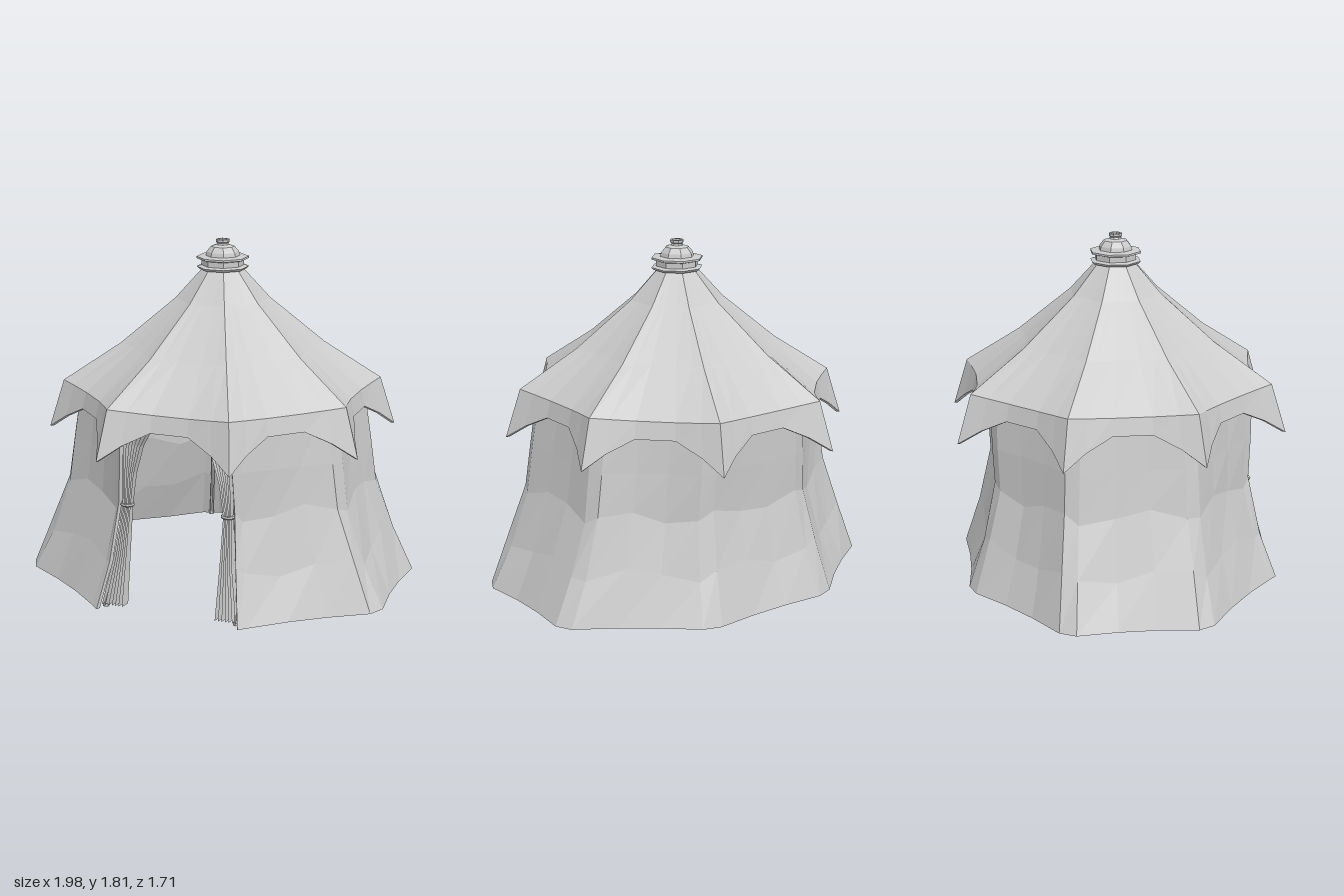
import * as THREE from 'three';

const canvas = new THREE.MeshStandardMaterial({ color: 0xcccccc, flatShading: true });
const cloth = new THREE.MeshStandardMaterial({ color: 0xcccccc, flatShading: true, side: THREE.DoubleSide });

// Thick sheet: outer(i, j) and inner(i, j) give points, i runs round the tent, j runs up
function shell(nu, nv, outer, inner) {
  const pos = [], idx = [], size = nu * nv;
  for (const f of [outer, inner])
    for (let j = 0; j < nv; j++) for (let i = 0; i < nu; i++) pos.push(...f(i, j).toArray());
  const quad = (a, b, c, d) => idx.push(a, b, c, a, c, d);
  const o = (i, j) => j * nu + i, n = (i, j) => size + o(i, j);
  for (let j = 0; j < nv - 1; j++) {
    for (let i = 0; i < nu - 1; i++) {
      quad(o(i, j), o(i + 1, j), o(i + 1, j + 1), o(i, j + 1));
      quad(n(i + 1, j), n(i, j), n(i, j + 1), n(i + 1, j + 1));
    }
    quad(n(0, j), o(0, j), o(0, j + 1), n(0, j + 1));
    quad(o(nu - 1, j), n(nu - 1, j), n(nu - 1, j + 1), o(nu - 1, j + 1));
  }
  for (let i = 0; i < nu - 1; i++) {
    quad(n(i, 0), n(i + 1, 0), o(i + 1, 0), o(i, 0));
    quad(o(i, nv - 1), o(i + 1, nv - 1), n(i + 1, nv - 1), n(i, nv - 1));
  }
  return geometry(pos, idx);
}

function geometry(pos, idx) {
  const g = new THREE.BufferGeometry();
  g.setAttribute('position', new THREE.Float32BufferAttribute(pos, 3));
  g.setIndex(idx);
  const flat = g.toNonIndexed();
  flat.computeVertexNormals();
  return flat;
}

function add(parent, name, geo, mat = canvas) {
  const m = new THREE.Mesh(geo, mat);
  m.name = name;
  parent.add(m);
  return m;
}

// Point moved towards the central axis by d
function inset(p, d, drop = 0) {
  const s = 1 - d / Math.hypot(p.x, p.z);
  return new THREE.Vector3(p.x * s, p.y - drop, p.z * s);
}

// Corner k of the octagon, counted from the front corner on +x, round by the back
const angle = k => Math.PI / 8 + k * Math.PI / 4;

// Wall rows: height, then x and z of a side corner and of a front or back corner
const wallRows = [
  [0, 1.0, 0.36, 0.385, 0.82],
  [0.25, 0.89, 0.34, 0.345, 0.735],
  [0.53, 0.79, 0.32, 0.315, 0.67],
  [0.76, 0.755, 0.31, 0.305, 0.68],
  [1.06, 0.71, 0.295, 0.29, 0.685],
];
function wallCorner(k, [y, sx, sz, fx, fz]) {
  const a = angle(k), side = Math.abs(Math.sin(a)) > 0.7;
  return new THREE.Vector3(Math.sign(Math.sin(a)) * (side ? sx : fx), y, Math.sign(Math.cos(a)) * (side ? sz : fz));
}

function wallGeometry() {
  const cols = [[0, 0]];
  for (let k = 0; k < 7; k++) for (const t of [0.07, 0.36, 0.64, 0.93]) cols.push([k, t]);
  cols.push([6, 1]);
  const outer = (i, j) => {
    const [k, t] = cols[i];
    const p = wallCorner(k, wallRows[j]).lerp(wallCorner(k + 1, wallRows[j]), t);
    const sag = 0.03 * (4 * t * (1 - t));
    p.x *= 1 - sag; p.z *= 1 - sag;
    // uneven creases in the hanging cloth
    if (j === 1 || j === 2) p.y += 0.035 * Math.sin(i * 1.9 + j);
    return p;
  };
  return shell(cols.length, wallRows.length, outer, (i, j) => inset(outer(i, j), 0.022));
}

// Roof rows from the valance hem to the peak: corner radius, corner height, sag inwards, rise at mid-side
const roofRows = [
  [0.925, 0.805, 0.125, 0.165],
  [0.845, 1.06, 0.06, -0.02],
  [0.54, 1.26, 0.045, 0],
  [0.25, 1.5, 0.02, 0],
  [0.1, 1.665, 0, 0],
];
function roofGeometry() {
  const ts = [0, 0.14, 0.34, 0.66, 0.86];
  const outer = (i, j) => {
    const k = Math.floor(i / 5) % 8, t = ts[i % 5], [r, y, sag, rise] = roofRows[j];
    const corner = n => new THREE.Vector3(r * Math.sin(angle(n)), y, r * Math.cos(angle(n)));
    const p = corner(k).lerp(corner(k + 1), t), s = 4 * t * (1 - t);
    p.x *= 1 - sag * s; p.z *= 1 - sag * s;
    p.y += rise * s;
    return p;
  };
  return shell(41, roofRows.length, outer, (i, j) => inset(outer(i, j), 0.018, j ? 0.012 : 0));
}

// Pleated curtain rows: height, inner x, outer x, depth z, pleat depth
const curtainRows = [
  [0.02, 0.245, 0.375, 0.765, 0.03],
  [0.28, 0.25, 0.325, 0.705, 0.024],
  [0.53, 0.25, 0.298, 0.655, 0.016],
  [0.7, 0.228, 0.294, 0.655, 0.02],
  [0.85, 0.185, 0.29, 0.66, 0.02],
  [0.94, 0.135, 0.287, 0.663, 0.02],
  [1.04, 0.06, 0.285, 0.665, 0.02],
];
function curtainGeometry(side) {
  const pos = [], idx = [], n = 15;
  curtainRows.forEach(([y, x0, x1, z, d], j) => {
    for (let i = 0; i < n; i++) {
      pos.push(side * THREE.MathUtils.lerp(x0, x1, i / (n - 1)), y, z + (i % 2 ? d : -d));
      if (i && j) {
        const a = j * n + i;
        idx.push(a - n - 1, a - n, a, a - n - 1, a, a - 1);
      }
    }
  });
  return geometry(pos, idx);
}

export function createModel() {
  const tent = new THREE.Group();
  tent.name = 'tent';

  add(tent, 'walls', wallGeometry());
  add(tent, 'roofAndValance', roofGeometry());

  // Poles inside each corner
  for (let k = 0; k < 8; k++) {
    const pts = wallRows.map(row => inset(wallCorner(k, row), 0.065));
    pts[0].y = 0.012;
    add(tent, 'pole', new THREE.TubeGeometry(new THREE.CatmullRomCurve3(pts), 8, 0.011, 6));
    const foot = add(tent, 'poleFoot', new THREE.CylinderGeometry(0.016, 0.016, 0.024, 6));
    foot.position.copy(pts[0]);
  }

  // Gathered door curtains with their ties
  for (const side of [-1, 1]) {
    add(tent, 'curtain', curtainGeometry(side), cloth);
    const tie = add(tent, 'curtainTie', new THREE.TorusGeometry(0.027, 0.008, 6, 10));
    tie.rotation.x = Math.PI / 2;
    tie.scale.set(1.1, 1, 1);
    tie.position.set(side * 0.274, 0.53, 0.655);
  }

  // Octagonal cap: two flanges, dome and hollow knob
  const cap = [
    [0.0, 1.655], [0.125, 1.655], [0.137, 1.668], [0.112, 1.675], [0.112, 1.703],
    [0.137, 1.71], [0.137, 1.72], [0.09, 1.725], [0.085, 1.745], [0.062, 1.773],
    [0.033, 1.782], [0.029, 1.79], [0.036, 1.797], [0.036, 1.81], [0.024, 1.81], [0.022, 1.79], [0, 1.79],
  ].map(([x, y]) => new THREE.Vector2(x, y));
  add(tent, 'finial', new THREE.LatheGeometry(cap, 8, Math.PI / 8));

  return tent;
}
